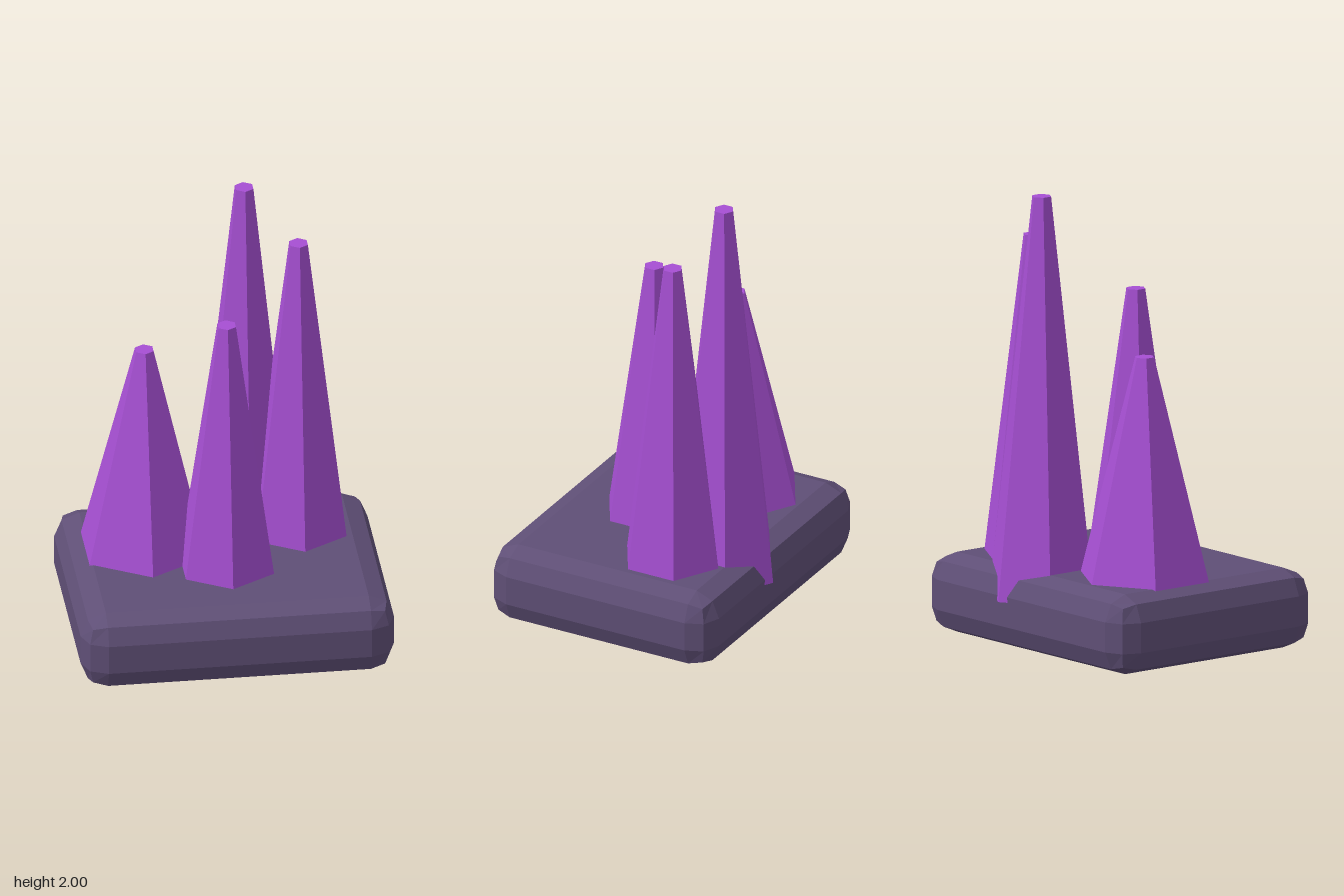
import * as THREE from 'three';
import { RoundedBoxGeometry } from 'three/addons/geometries/RoundedBoxGeometry.js';

export function createModel() {
  const group = new THREE.Group();
  group.name = 'crystalCluster';

  const stone = new THREE.MeshStandardMaterial({ color: 0x5f4f76 });
  stone.name = 'darkStone';
  stone.flatShading = true;
  const crystal = new THREE.MeshStandardMaterial({ color: 0xa64fd3 });
  crystal.name = 'purpleCrystal';
  crystal.flatShading = true;

  // Chamfered slab
  const baseZ = 0.011, baseHeight = 0.356;
  const base = new THREE.Mesh(new RoundedBoxGeometry(1.378, baseHeight, 1.111, 1, 0.111), stone);
  base.name = 'base';
  base.position.set(0, baseHeight / 2, baseZ);
  group.add(base);

  // Tapered hexagonal crystals, sunk into the slab
  const sink = 0.222, tipRadius = 0.044;
  const crystals = [
    { name: 'leftShortCrystal', x: -0.333, z: -0.122, radius: 0.333, height: 1.111 },
    { name: 'frontCrystal', x: 0, z: 0.1, radius: 0.244, height: 1.333 },
    { name: 'sideCrystal', x: 0.354, z: -0.189, radius: 0.244, height: 1.556 },
    { name: 'tallBackCrystal', x: 0.132, z: -0.322, radius: 0.244, height: 1.778 },
  ];
  for (const { name, x, z, radius, height } of crystals) {
    const mesh = new THREE.Mesh(new THREE.CylinderGeometry(tipRadius, radius, height, 6), crystal);
    mesh.name = name;
    mesh.position.set(x, sink + height / 2, z);
    group.add(mesh);
  }
  return group;
}
